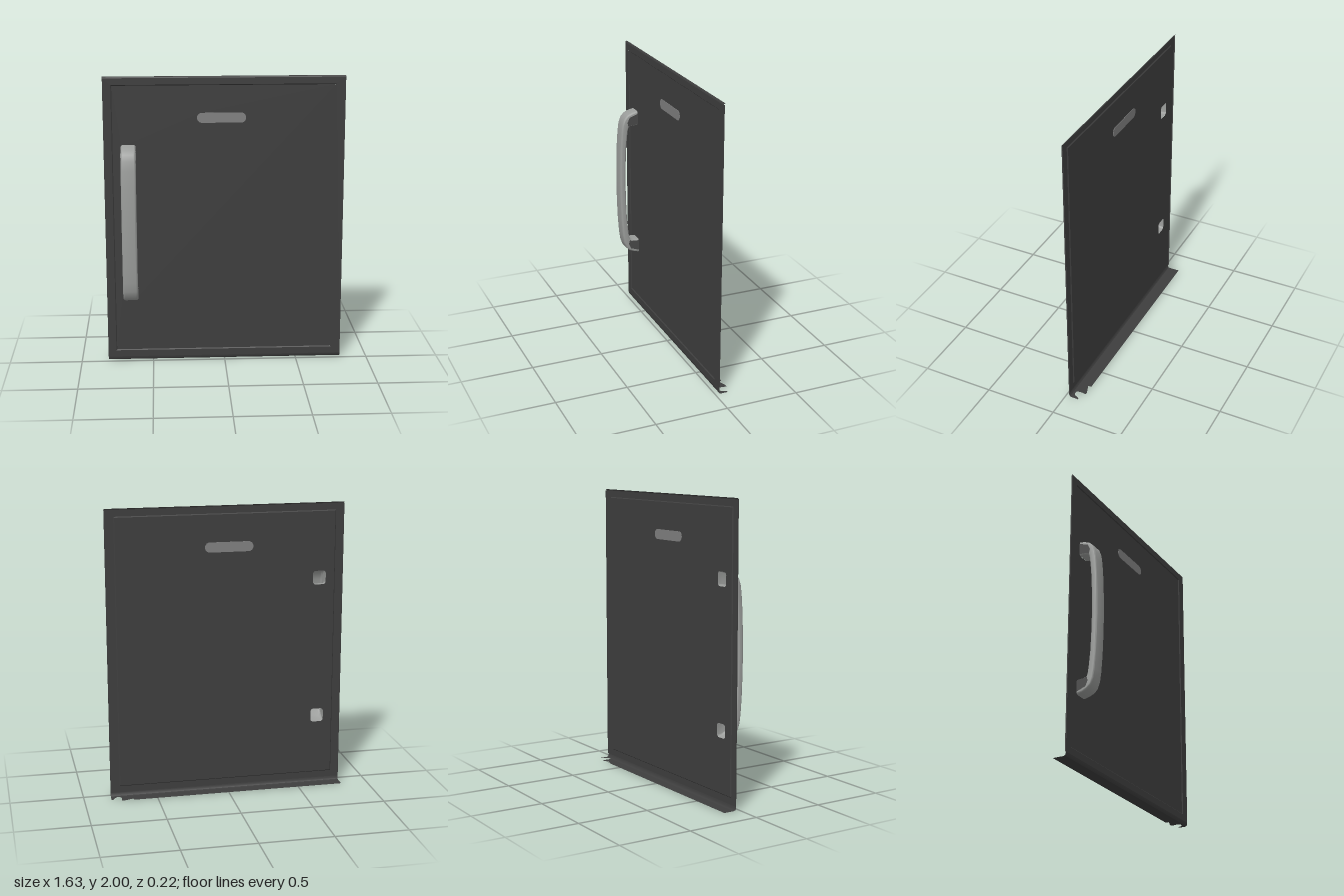
import * as THREE from 'three';
import { toCreasedNormals } from 'three/addons/utils/BufferGeometryUtils.js';

const mat = (name, color) => {
  const m = new THREE.MeshStandardMaterial({ color, side: THREE.DoubleSide });
  m.name = name;
  return m;
};

// Skins a run of equal-length point rows
function loft(rows, closed = false) {
  const n = rows[0].length, index = [];
  for (let r = 0; r < rows.length - 1; r++) {
    for (let i = 0; i < (closed ? n : n - 1); i++) {
      const j = (i + 1) % n, a = r * n + i, b = r * n + j;
      index.push(a, b, a + n, b, b + n, a + n);
    }
  }
  const g = new THREE.BufferGeometry();
  g.setAttribute('position', new THREE.Float32BufferAttribute(rows.flat(2), 3));
  g.setIndex(index);
  return toCreasedNormals(g, 0.7);
}

// Traces a rounded rectangle on a Shape or Path
function roundRect(path, x0, y0, x1, y1, r) {
  path.moveTo(x0 + r, y0).lineTo(x1 - r, y0);
  path.absarc(x1 - r, y0 + r, r, -Math.PI / 2, 0, false);
  path.absarc(x1 - r, y1 - r, r, 0, Math.PI / 2, false);
  path.absarc(x0 + r, y1 - r, r, Math.PI / 2, Math.PI, false);
  path.absarc(x0 + r, y0 + r, r, Math.PI, Math.PI * 1.5, false);
  return path;
}

export function createModel() {
  const model = new THREE.Group();
  model.name = 'cabinetDoor';
  const dark = mat('charcoal', 0x3e3e3e);
  const silver = mat('satin grey', 0x9b9d9b);
  const slotGrey = mat('slot grey', 0x808080);
  const shade = mat('leg grey', 0x4a4a4a);
  const add = (name, geometry, material, parent = model) => {
    const m = new THREE.Mesh(geometry, material);
    m.name = name;
    parent.add(m);
    return m;
  };

  const W = 0.815, front = -0.023, recess = -0.029;
  const inner = [-0.76, 0.075, 0.752, 1.945];
  const rect = (x0, y0, x1, y1, z) => [[x0, y0, z], [x1, y0, z], [x1, y1, z], [x0, y1, z]];

  // Raised border around the recessed panel
  const border = new THREE.Shape([[-W, 0.03], [W, 0.03], [W, 1.99], [-W, 1.99]].map(p => new THREE.Vector2(...p)));
  border.holes.push(roundRect(new THREE.Path(), ...inner, 0.002));
  add('border', new THREE.ShapeGeometry(border), dark).position.z = front;

  // Sloped step down to the panel
  const [x0, y0, x1, y1] = inner, s = 0.006;
  add('panelStep', loft([rect(x0, y0, x1, y1, front), rect(x0 + s, y0 + s, x1 - s, y1 - s, recess)], true), dark);

  // Panel with the slot and the two open handle feet cut out
  const slot = [-0.185, 1.685, 0.145, 1.753, 0.033];
  const panel = roundRect(new THREE.Shape(), x0 + s, y0 + s, x1 - s, y1 - s, 0.002);
  panel.holes.push(roundRect(new THREE.Path(), ...slot));
  for (const [a, b] of [[0.45, 0.545], [1.435, 1.53]]) {
    panel.holes.push(roundRect(new THREE.Path(), -0.695, a, -0.605, b, 0.02));
  }
  add('panel', new THREE.ShapeGeometry(panel, 6), dark).position.z = recess;

  // Filled finger slot
  const slotGeo = new THREE.ExtrudeGeometry(roundRect(new THREE.Shape(), ...slot), { depth: 0.006, bevelEnabled: false, curveSegments: 8 });
  add('slot', slotGeo, slotGrey).position.z = recess - 0.003;

  // Rolled top and bottom edges
  const across = pts => pts.map(([y, z]) => [[-W, y, z], [W, y, z]]);
  add('topRoll', loft(across([[1.99, front], [1.997, -0.026], [2, -0.035]])), dark);
  add('bottomRoll', loft(across([[0.03, front], [0.016, -0.025], [0.007, -0.031], [0.004, -0.042]])), dark);

  // Short returns on both sides
  for (const side of [-1, 1]) {
    const x = side * W;
    add(side < 0 ? 'rightReturn' : 'leftReturn',
      loft([[[x, 0.03, front], [x, 1.99, front]], [[x, 0.03, -0.031], [x, 1.99, -0.031]]]), dark);
  }

  // Bottom lip with its ragged notch at one end
  const lip = new THREE.Shape([
    [-W, 0.042], [W, 0.042], [W, 0.09], [0.803, 0.088], [0.79, 0.06], [0.775, 0.045], [0.752, 0.046],
    [0.742, 0.07], [0.748, 0.115], [0.73, 0.115], [0.665, 0.092], [0.665, 0.115], [-W, 0.115],
  ].map(p => new THREE.Vector2(...p)));
  const lipMesh = add('bottomLip', new THREE.ShapeGeometry(lip), dark);
  lipMesh.rotation.x = -Math.PI / 2;
  lipMesh.position.y = 0.004;

  // Hollow bowed handle: outer (z, y) and inner (z, y) from the middle to a foot
  const handle = new THREE.Group();
  handle.name = 'handle';
  model.add(handle);
  const mid = 0.992;
  const half = [
    [0.11, 0, 0.068, 0], [0.108, 0.14, 0.066, 0.13], [0.103, 0.28, 0.061, 0.26], [0.095, 0.39, 0.052, 0.36],
    [0.086, 0.455, 0.046, 0.41], [0.07, 0.497, 0.041, 0.43], [0.045, 0.523, 0.03, 0.438],
    [0.01, 0.538, 0.01, 0.441], [-0.027, 0.546, -0.027, 0.443],
  ];
  const stations = [
    ...half.slice(1).reverse().map(([a, b, c, d]) => [a, -b, c, -d]), ...half,
  ];
  const cx = -0.65, hw = 0.051;
  const rows = stations.map(([oz, oy, iz, iy]) => {
    // Rounded rectangle: u runs across x, t from inner to outer edge
    const depth = Math.hypot(oz - iz, oy - iy), r = 0.015;
    return roundRect(new THREE.Shape(), -hw, 0, hw, depth, r).getPoints(4).slice(0, -1).map(p => {
      const t = p.y / depth;
      return [cx + p.x, mid + iy + (oy - iy) * t, iz + (oz - iz) * t];
    });
  });
  add('grip', loft(rows, true), silver, handle);

  // Dark cheeks on the sides of both feet
  for (const up of [-1, 1]) {
    const cheek = new THREE.Shape([[-0.027, 0.45], [0.03, 0.446], [0.044, 0.438], [0.052, 0.468], [0.035, 0.505], [-0.027, 0.528]]
      .map(([z, y]) => new THREE.Vector2(-z, mid + up * y)));
    for (const side of [-1, 1]) {
      const m = add('footCheek', new THREE.ShapeGeometry(cheek), shade, handle);
      m.rotation.y = Math.PI / 2;
      m.position.x = cx + side * (hw + 0.001);
    }
  }
  return model;
}
